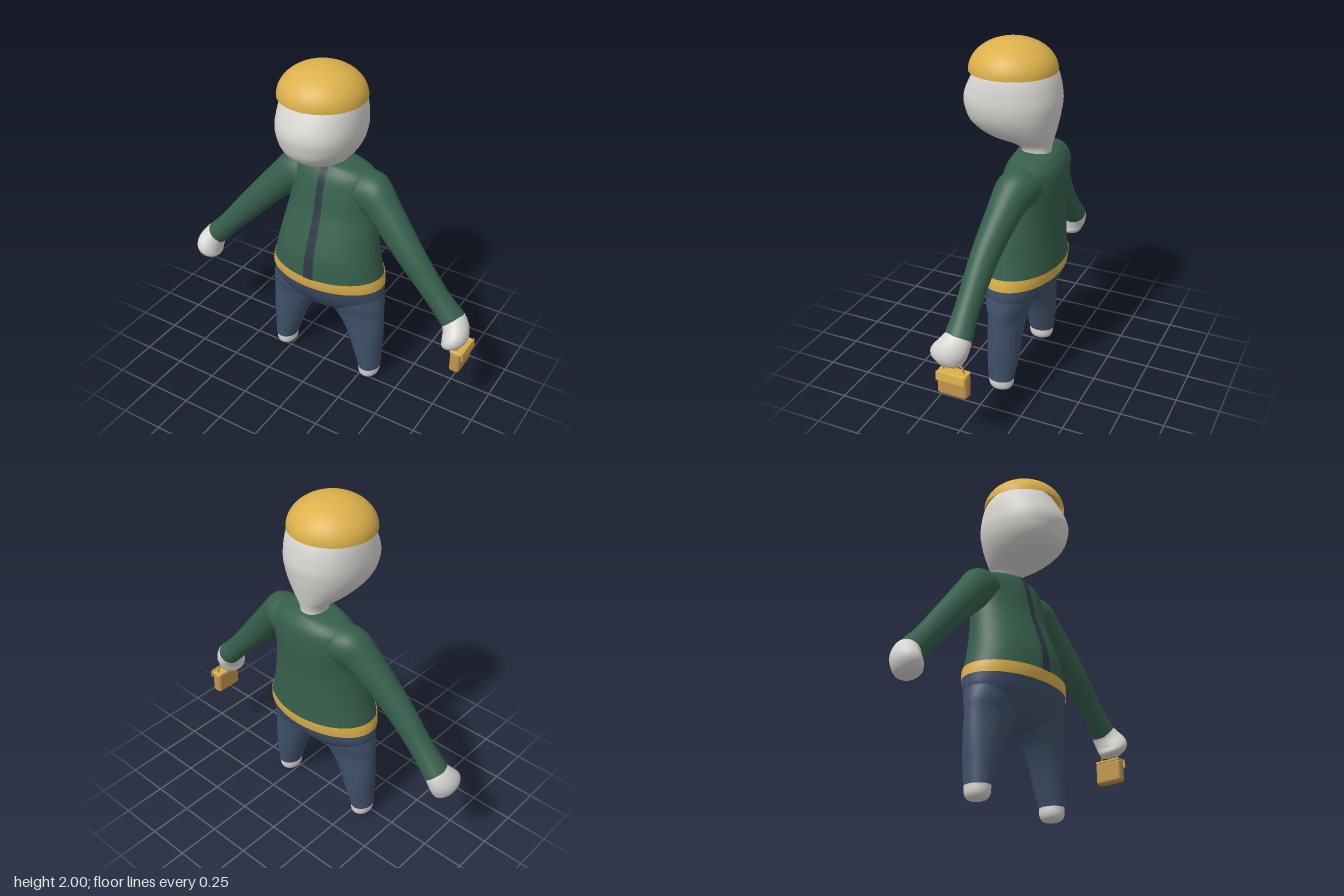
import * as THREE from 'three';
import { RoundedBoxGeometry } from 'three/addons/geometries/RoundedBoxGeometry.js';

const mat = (name, color, side = THREE.FrontSide) => {
  const m = new THREE.MeshStandardMaterial({ color, side });
  m.name = name;
  return m;
};

// A ring is [x, y, z, radius across, radius in z, tilt about z]; rings run bottom to top.
function sampler(rings) {
  const centre = new THREE.CatmullRomCurve3(rings.map(r => new THREE.Vector3(r[0], r[1], r[2])), false, 'catmullrom', 0.5);
  const size = new THREE.CatmullRomCurve3(rings.map(r => new THREE.Vector3(r[3], r[4], r[5] || 0)), false, 'catmullrom', 0.5);
  return t => ({ c: centre.getPoint(t), s: size.getPoint(t) });
}

// Smooth skin through the rings; power below 1 makes the section boxier.
function loft(rings, power = 1, sides = 48) {
  const at = sampler(rings), rows = (rings.length - 1) * 6;
  const pos = [], index = [];
  const soft = v => Math.sign(v) * Math.abs(v) ** power;
  for (let i = 0; i <= rows; i++) {
    const { c, s } = at(i / rows);
    for (let j = 0; j < sides; j++) {
      const a = j / sides * Math.PI * 2;
      const u = soft(Math.cos(a)) * Math.max(s.x, 0.0005);
      const w = soft(Math.sin(a)) * Math.max(s.y, 0.0005);
      pos.push(c.x + u * Math.cos(s.z), c.y + u * Math.sin(s.z), c.z + w);
      if (i < rows) {
        const k = (j + 1) % sides, p = i * sides, q = p + sides;
        index.push(p + j, q + j, p + k, p + k, q + j, q + k);
      }
    }
  }
  const g = new THREE.BufferGeometry();
  g.setAttribute('position', new THREE.Float32BufferAttribute(pos, 3));
  g.setIndex(index);
  g.computeVertexNormals();
  return g;
}

const mirror = (rings, side) => rings.map(([x, y, z, a, b, t = 0]) => [x * side, y, z, a, b, t * side]);

const HEAD = [
  [0, 1.36, -0.115, 0.07, 0.085], [0, 1.41, -0.115, 0.07, 0.085], [0, 1.445, -0.083, 0.092, 0.124],
  [0, 1.48, -0.025, 0.138, 0.19], [0, 1.54, 0.01, 0.187, 0.238], [0, 1.61, 0.02, 0.22, 0.26],
  [0, 1.7, 0.019, 0.231, 0.266], [0, 1.83, 0.004, 0.211, 0.22], [0, 1.91, 0.01, 0.15, 0.15], [0, 1.93, 0.01, 0.001, 0.001]];
const TORSO = [
  [0, 0.735, -0.05, 0.345, 0.23], [0, 0.87, -0.053, 0.315, 0.218], [0, 1.02, -0.077, 0.285, 0.192],
  [0, 1.12, -0.098, 0.268, 0.178], [0, 1.23, -0.113, 0.27, 0.168], [0, 1.32, -0.12, 0.26, 0.15],
  [0, 1.37, -0.12, 0.2, 0.12], [0, 1.395, -0.115, 0.1, 0.09], [0, 1.4, -0.115, 0.02, 0.02]];
const BELT = [[0, 0.678, -0.05, 0.36, 0.224], [0, 0.712, -0.05, 0.356, 0.23], [0, 0.746, -0.05, 0.348, 0.233]];
const HIPS = [
  [0, 0.448, -0.04, 0.001, 0.001], [0, 0.452, -0.04, 0.08, 0.04], [0, 0.47, -0.04, 0.2, 0.085],
  [0, 0.52, -0.04, 0.3, 0.13], [0, 0.6, -0.05, 0.355, 0.19], [0, 0.69, -0.05, 0.357, 0.222]];
const LEG = [
  [0.298, 0.08, -0.037, 0.066, 0.077], [0.28, 0.2, -0.041, 0.088, 0.09], [0.263, 0.3, -0.042, 0.11, 0.095],
  [0.235, 0.4, -0.043, 0.138, 0.1], [0.2, 0.48, -0.043, 0.171, 0.108], [0.195, 0.55, -0.045, 0.174, 0.125],
  [0.21, 0.64, -0.05, 0.14, 0.13]];
const FOOT = [
  [0.297, 0.002, -0.037, 0.001, 0.001], [0.297, 0.012, -0.037, 0.042, 0.052],
  [0.297, 0.04, -0.037, 0.061, 0.072], [0.297, 0.09, -0.037, 0.063, 0.075]];
const ARM = [
  [0.81, 0.645, -0.04, 0.07, 0.076, 0.72], [0.7, 0.765, -0.04, 0.068, 0.066, 0.72],
  [0.52, 0.97, -0.05, 0.083, 0.075, 0.72], [0.335, 1.17, -0.085, 0.1, 0.095, 0.8],
  [0.24, 1.245, -0.108, 0.123, 0.115, 1.1], [0.12, 1.25, -0.12, 0.12, 0.12, 1.4]];
const HAND = [
  [0.85, 0.492, -0.01, 0.001, 0.001, 0.3], [0.85, 0.503, -0.01, 0.045, 0.055, 0.3],
  [0.849, 0.54, 0, 0.075, 0.09, 0.4], [0.844, 0.585, -0.008, 0.078, 0.1, 0.55],
  [0.82, 0.635, -0.032, 0.071, 0.083, 0.7], [0.79, 0.668, -0.04, 0.063, 0.066, 0.72]];

export function createModel() {
  const white = mat('white skin', 0xd8d6d2);
  const green = mat('green sweater', 0x365f4c);
  const navy = mat('blue trousers', 0x40516a);
  const dark = mat('dark stripe', 0x2d3844, THREE.DoubleSide);
  const gold = mat('gold', 0xdcb04a, THREE.DoubleSide);
  const tan = mat('tan leather', 0xc0954c);

  const model = new THREE.Group();
  model.name = 'figure';
  const add = (name, geometry, material, parent = model) => {
    const m = new THREE.Mesh(geometry, material);
    m.name = name;
    parent.add(m);
    return m;
  };

  add('head', loft(HEAD, 0.9), white);
  add('torso', loft(TORSO), green);
  add('belt', loft(BELT), gold);
  add('hips', loft(HIPS), navy);

  // Limbs on both sides
  for (const [label, side] of [['left', 1], ['right', -1]]) {
    add(label + 'Leg', loft(mirror(LEG, side)), navy);
    add(label + 'Foot', loft(mirror(FOOT, side)), white);
    add(label + 'Arm', loft(mirror(ARM, side)), green);
    add(label + 'Hand', loft(mirror(HAND, side)), white);
  }

  // Front stripe following the torso, a little wider at the hem
  const stripe = new THREE.PlaneGeometry(2, 1, 4, 48);
  const at = sampler(TORSO), p = stripe.attributes.position;
  for (let i = 0; i < p.count; i++) {
    const v = p.getY(i) + 0.5;
    const { c, s } = at(0.008 + v * 0.865);
    const x = p.getX(i) * (0.021 + 0.012 * (1 - v) ** 3);
    p.setXYZ(i, x, c.y + 0.003 * v, c.z + s.y * Math.sqrt(1 - (x / s.x) ** 2) + 0.004);
  }
  stripe.computeVertexNormals();
  add('frontStripe', stripe, dark);

  // Domed cap, open underneath
  const dome = [];
  for (let i = 0; i <= 20; i++) {
    const a = i / 20 * Math.PI / 2;
    dome.push(new THREE.Vector2(0.24 * Math.cos(a), 0.17 * Math.sin(a)));
  }
  add('cap', new THREE.LatheGeometry(dome, 48), gold).position.set(0, 1.83, 0.02);

  // Small bag hanging from the left hand
  const bag = new THREE.Group();
  bag.name = 'bag';
  bag.position.set(0.872, 0.415, -0.042);
  model.add(bag);
  add('bagBody', new RoundedBoxGeometry(0.064, 0.14, 0.172, 4, 0.02), tan, bag);
  add('bagLid', new RoundedBoxGeometry(0.068, 0.016, 0.166, 3, 0.007), gold, bag).position.y = 0.066;
  const flap = add('bagFlap', new RoundedBoxGeometry(0.01, 0.052, 0.166, 3, 0.004), gold, bag);
  flap.position.set(0.041, 0.052, 0);
  flap.rotation.z = 0.1;
  const handle = add('bagHandle', new THREE.TorusGeometry(0.06, 0.006, 8, 24, Math.PI), tan, bag);
  handle.position.y = 0.07;
  handle.rotation.y = Math.PI / 2;

  return model;
}
